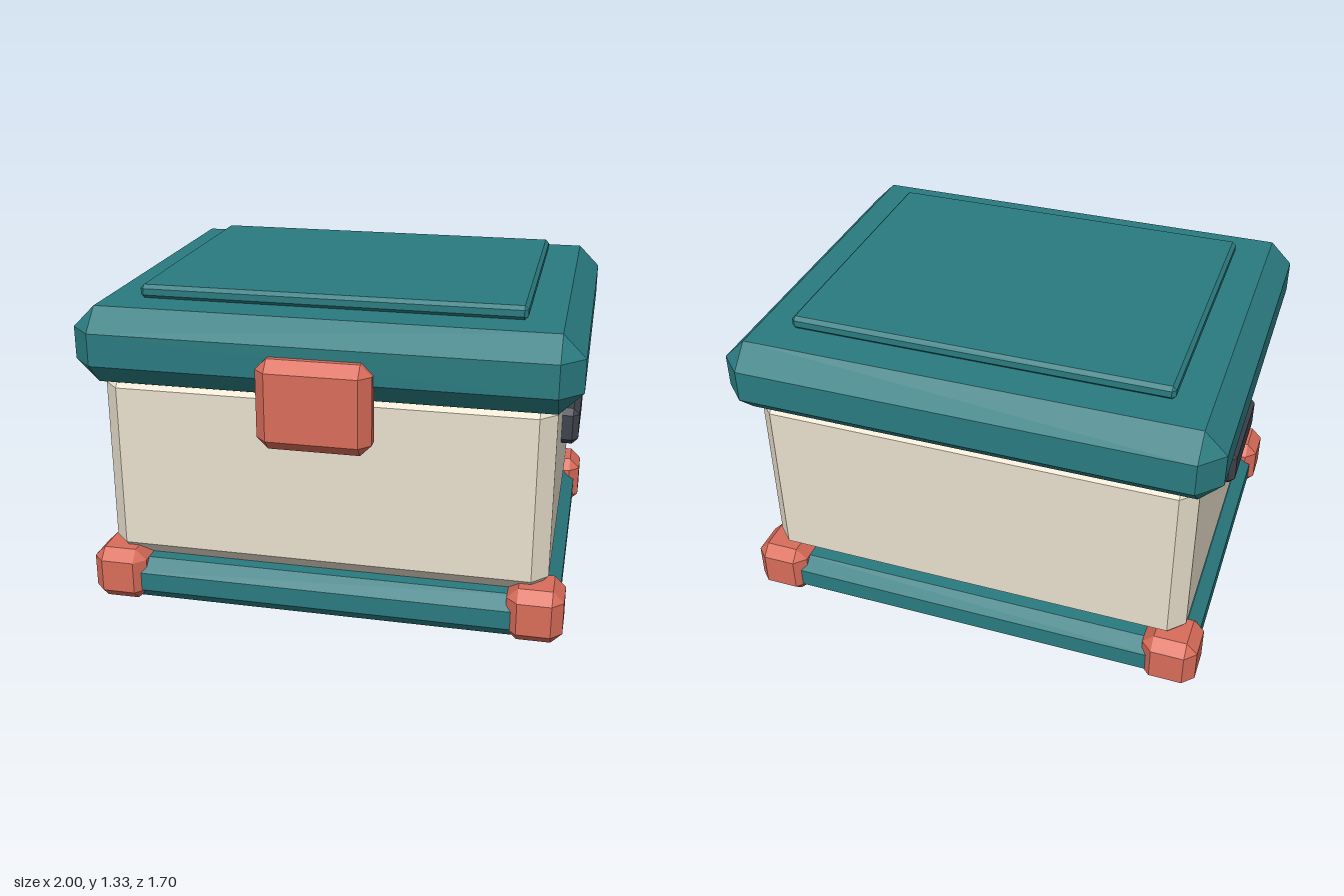
import * as THREE from 'three';
import { ConvexGeometry } from 'three/addons/geometries/ConvexGeometry.js';

const material = (color) => new THREE.MeshStandardMaterial({ color, flatShading: true });

// Box with every edge cut at 45 degrees, given as [min, max] on each axis
function chamferBox(name, mat, [x0, x1], [y0, y1], [z0, z1], c) {
  const half = [(x1 - x0) / 2, (y1 - y0) / 2, (z1 - z0) / 2];
  const points = [];
  for (const sx of [-1, 1]) for (const sy of [-1, 1]) for (const sz of [-1, 1]) {
    for (let axis = 0; axis < 3; axis++) {
      const [x, y, z] = half.map((h, i) => (i === axis ? h : h - c));
      points.push(new THREE.Vector3(sx * x, sy * y, sz * z));
    }
  }
  const mesh = new THREE.Mesh(new ConvexGeometry(points), mat);
  mesh.position.set((x0 + x1) / 2, (y0 + y1) / 2, (z0 + z1) / 2);
  mesh.name = name;
  return mesh;
}

export function createModel() {
  const teal = material(0x2a7b80);
  const cream = material(0xe8dfcc);
  const red = material(0xd96c5a);
  const dark = material(0x3f434a);
  const model = new THREE.Group();
  model.name = 'storageChest';

  // Base, body and lid
  model.add(
    chamferBox('base', teal, [-0.955, 0.955], [0, 0.185], [-0.805, 0.735], 0.053),
    chamferBox('body', cream, [-0.908, 0.908], [0.185, 1.0], [-0.758, 0.692], 0.065),
    chamferBox('lid', teal, [-1, 1], [0.96, 1.273], [-0.85, 0.782], 0.09),
    chamferBox('lidPanel', teal, [-0.772, 0.772], [1.272, 1.328], [-0.622, 0.554], 0.015),
    chamferBox('latch', red, [-0.226, 0.226], [0.776, 1.14], [0.718, 0.85], 0.045),
  );

  // Side handles and corner feet, mirrored left and right
  for (const [side, s] of [['left', 1], ['right', -1]]) {
    const span = (a, b) => (s > 0 ? [a, b] : [-b, -a]);
    model.add(
      chamferBox(side + 'Handle', dark, span(0.86, 0.978), [0.64, 0.797], [-0.26, 0.195], 0.025),
      chamferBox(side + 'FrontFoot', red, span(0.752, 0.978), [0.003, 0.23], [0.535, 0.76], 0.045),
      chamferBox(side + 'BackFoot', red, span(0.752, 0.978), [0.003, 0.23], [-0.828, -0.603], 0.045),
    );
  }
  return model;
}
